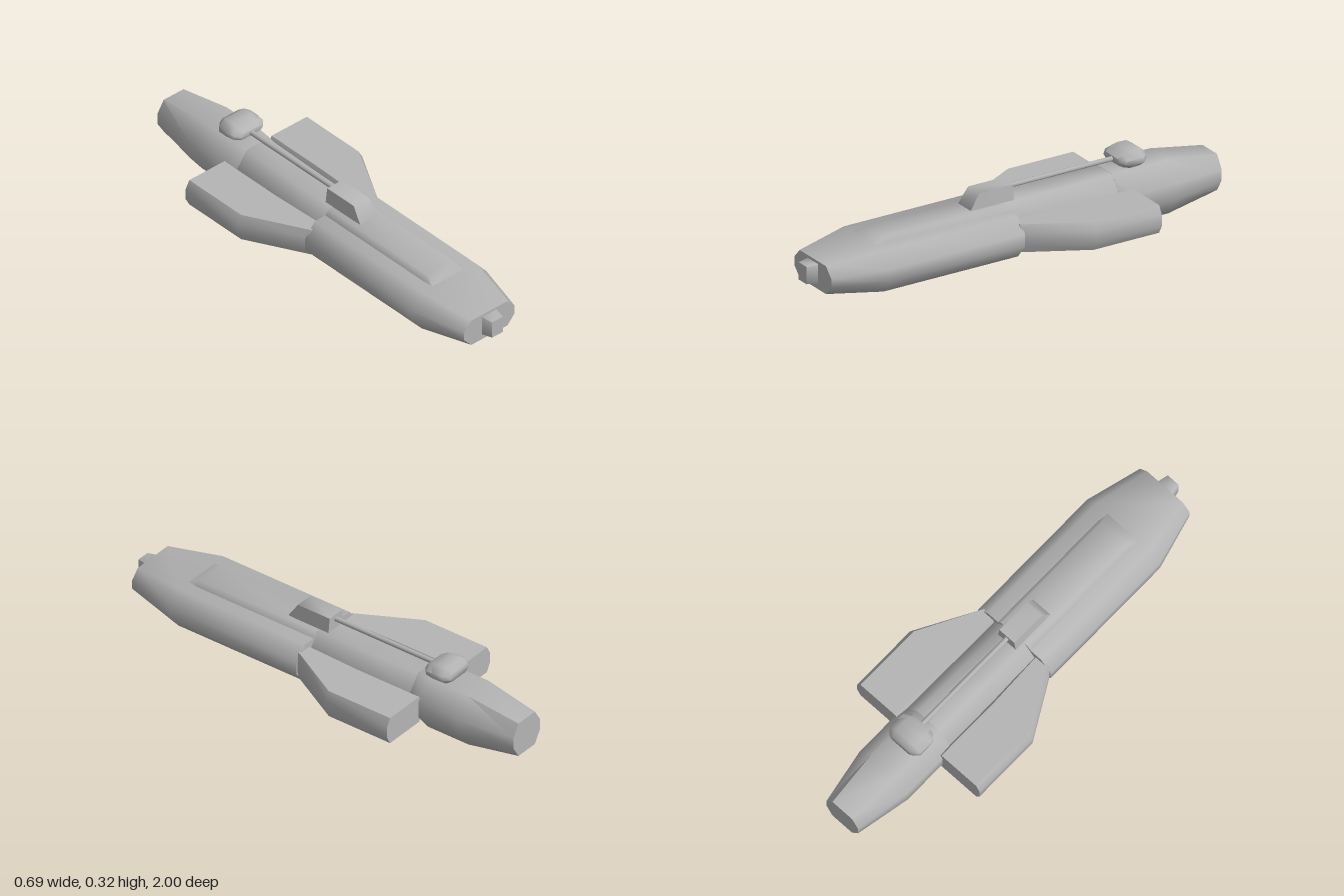
import * as THREE from 'three';
import { toCreasedNormals } from 'three/addons/utils/BufferGeometryUtils.js';

const grey = new THREE.MeshStandardMaterial({ color: 0xb4b4b4 });
grey.name = 'hull grey';

// Chamfered eight-sided section: centre x, half width, flat half width,
// bottom, top, and the share of the height taken by the vertical flat.
function octagon(z, cx, w, flat, y0, y1, side = 0.3) {
  const m = (y0 + y1) / 2, s = (y1 - y0) * side / 2;
  return [[w, m - s], [w, m + s], [flat, y1], [-flat, y1],
    [-w, m + s], [-w, m - s], [-flat, y0], [flat, y0]].map(([x, y]) => [cx + x, y, z]);
}

// Closed skin through sections listed from back to front
function loft(name, sections) {
  const n = sections[0].length, last = (sections.length - 1) * n, index = [];
  for (let i = 0; i < sections.length - 1; i++) {
    for (let j = 0; j < n; j++) {
      const a = i * n + j, b = i * n + (j + 1) % n;
      index.push(a, b, b + n, a, b + n, a + n);
    }
  }
  for (let j = 1; j < n - 1; j++) {
    index.push(0, j + 1, j, last, last + j, last + j + 1);
  }
  const geometry = new THREE.BufferGeometry();
  geometry.setAttribute('position', new THREE.Float32BufferAttribute(sections.flat(2), 3));
  geometry.setIndex(index);
  const mesh = new THREE.Mesh(toCreasedNormals(geometry, 1.0), grey);
  mesh.name = name;
  return mesh;
}

export function createModel() {
  const model = new THREE.Group();
  model.name = 'spacecraft';

  // Broad forward hull tapering to a blunt bow
  model.add(loft('forwardHull', [
    octagon(0.04, 0, 0.205, 0.15, 0.03, 0.213),
    octagon(0.7, 0, 0.205, 0.15, 0.03, 0.213),
    octagon(0.95, 0, 0.14, 0.1, 0.06, 0.185),
  ]));

  // Raised spine through the forward hull, showing above and below
  model.add(loft('spinePlate', [
    octagon(0.04, 0, 0.1, 0.072, 0.006, 0.236, 0.72),
    octagon(0.645, 0, 0.1, 0.072, 0.006, 0.236, 0.72),
    octagon(0.695, 0, 0.095, 0.085, 0.03, 0.213, 0.9),
  ]));

  // Narrow neck and swollen stern
  model.add(loft('neck', [
    octagon(-0.52, 0, 0.118, 0.06, 0.03, 0.243),
    octagon(-0.2, 0, 0.118, 0.06, 0.03, 0.236),
    octagon(0.06, 0, 0.118, 0.06, 0.03, 0.236),
  ]));
  model.add(loft('stern', [
    octagon(-1, 0, 0.09, 0.055, 0.045, 0.207),
    octagon(-0.75, 0, 0.135, 0.07, 0.005, 0.246),
    octagon(-0.54, 0, 0.135, 0.07, 0.005, 0.246),
    octagon(-0.48, 0, 0.118, 0.06, 0.03, 0.243),
  ]));

  // Side pods, swept in toward the hull
  for (const side of [1, -1]) {
    model.add(loft(side > 0 ? 'leftPod' : 'rightPod', [
      octagon(-0.54, side * 0.2275, 0.1175, 0.0975, 0.062, 0.187, 0.42),
      octagon(-0.22, side * 0.2275, 0.1175, 0.0975, 0.062, 0.187, 0.42),
      octagon(0.05, side * 0.15, 0.043, 0.03, 0.062, 0.187, 0.42),
    ]));
  }

  // Bow nozzle
  model.add(loft('bowNozzle', [
    octagon(0.94, 0, 0.043, 0.041, 0.082, 0.174, 0.94),
    octagon(1, 0, 0.031, 0.029, 0.09, 0.168, 0.94),
  ]));

  // Dorsal mount with a sloped front
  const block = (z, w, y1, t) => [[w, 0.22, z], [t, y1, z], [-t, y1, z], [-w, 0.22, z]];
  model.add(loft('dorsalMount', [
    block(-0.005, 0.052, 0.303, 0.042),
    block(0.16, 0.052, 0.303, 0.042),
    block(0.205, 0.05, 0.236, 0.048),
  ]));

  // Boom and the sensor pod at its end
  const boom = new THREE.Mesh(new THREE.CylinderGeometry(0.011, 0.011, 0.56, 8), grey);
  boom.name = 'boom';
  boom.rotation.x = Math.PI / 2;
  boom.position.set(0, 0.281, -0.27);
  model.add(boom);
  model.add(loft('sensorPod', [
    octagon(-0.648, 0, 0.06, 0.045, 0.264, 0.304),
    octagon(-0.622, 0, 0.087, 0.052, 0.246, 0.321),
    octagon(-0.575, 0, 0.087, 0.052, 0.244, 0.322),
    octagon(-0.54, 0, 0.084, 0.052, 0.256, 0.309),
    octagon(-0.518, 0, 0.06, 0.045, 0.268, 0.296),
  ]));

  return model;
}
